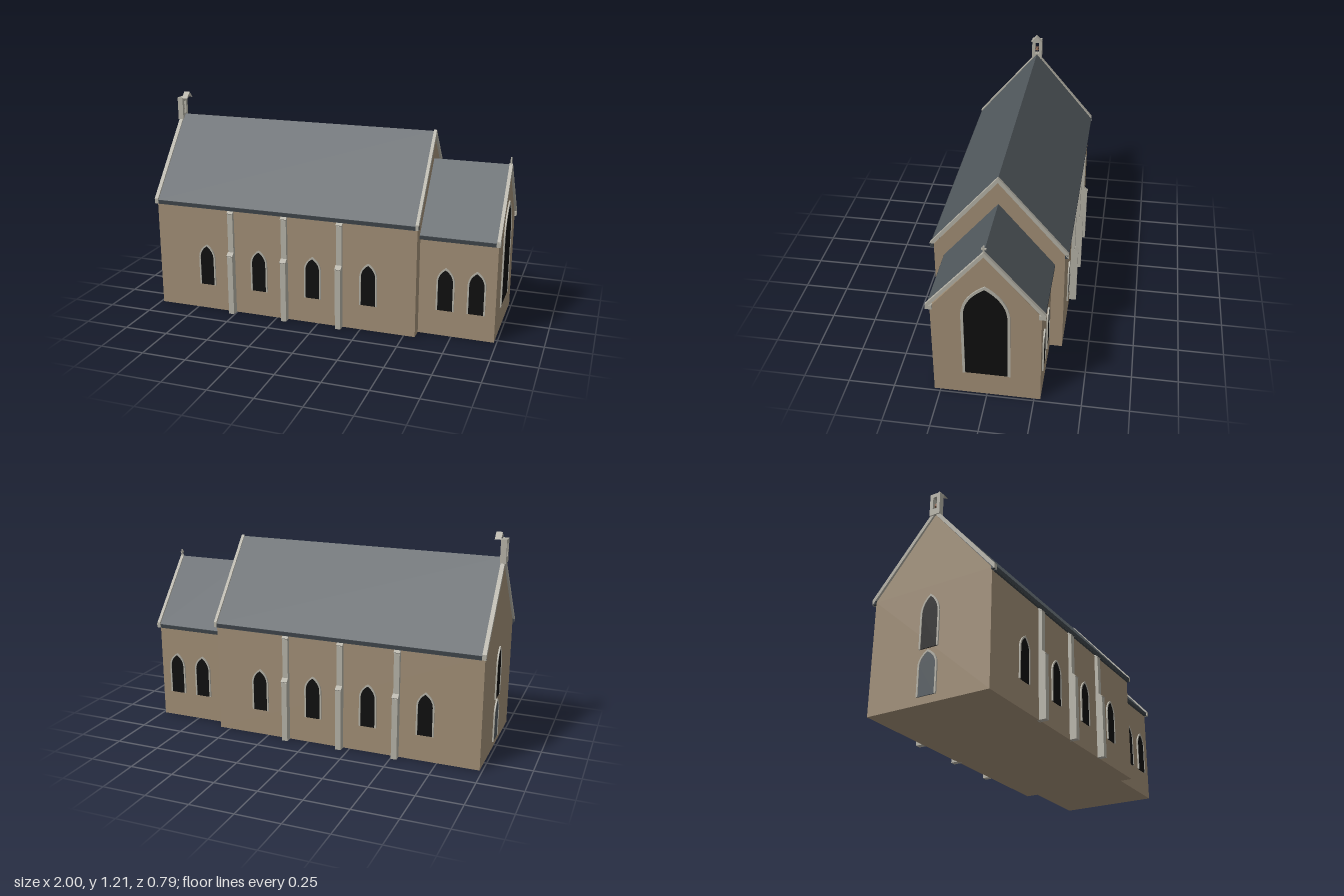
import * as THREE from 'three';

const material = (name, color) => {
  const m = new THREE.MeshStandardMaterial({ color });
  m.name = name;
  return m;
};

export function createModel() {
  const wall = material('sandstone wall', 0x9c8a72);
  const stone = material('pale stone', 0xb0ada2);
  const slate = material('roof slate', 0x50575c);
  const eave = material('dark eave', 0x3b4146);
  const glass = material('dark glass', 0x0e0e0e);
  const bronze = material('bell bronze', 0x8a6650);

  const model = new THREE.Group();
  model.name = 'church';

  const add = (name, geometry, mat, parent = model) => {
    const mesh = new THREE.Mesh(geometry, mat);
    mesh.name = name;
    parent.add(mesh);
    return mesh;
  };
  const box = (name, x0, x1, y0, y1, z0, z1, mat, parent) => {
    const g = new THREE.BoxGeometry(x1 - x0, y1 - y0, z1 - z0);
    g.translate((x0 + x1) / 2, (y0 + y1) / 2, (z0 + z1) / 2);
    return add(name, g, mat, parent);
  };
  const shapeOf = (pts) => new THREE.Shape(pts.map(([a, b]) => new THREE.Vector2(a, b)));

  // Cross-section given as [z, y], run along x from x0 to x1
  const prism = (name, pts, x0, x1, mat, hole, parent) => {
    const shape = shapeOf(pts.map(([z, y]) => [-z, y]));
    if (hole) shape.holes.push(hole);
    const g = new THREE.ExtrudeGeometry(shape, { depth: x1 - x0, bevelEnabled: false });
    g.rotateY(Math.PI / 2).translate(x0, 0, 0);
    return add(name, g, mat, parent);
  };
  // Inverted V band: outer edge at half-width w, height y, apex top, vertical thickness t
  const chevron = (name, w, y, top, t, x0, x1, mat) =>
    prism(name, [[-w, y], [0, top], [w, y], [w, y - t], [0, top - t], [-w, y - t]], x0, x1, mat);

  // Nave and chancel walls with gables
  const gable = (w, y, top) => [[-w, 0], [w, 0], [w, y], [0, top], [-w, y]];
  prism('naveWalls', gable(0.353, 0.635, 1.055), -0.985, 0.563, wall);
  prism('chancelWalls', gable(0.283, 0.56, 0.9), 0.55, 0.985, wall);

  // Roof slopes and dark eaves
  chevron('naveRoof', 0.368, 0.642, 1.08, 0.024, -0.975, 0.56, slate);
  chevron('chancelRoof', 0.298, 0.572, 0.926, 0.022, 0.56, 0.978, slate);
  for (const s of [1, -1]) {
    const z = (a, b) => (s > 0 ? [a, b] : [-b, -a]);
    box('naveEave', -0.975, 0.56, 0.62, 0.641, ...z(0.35, 0.371), eave);
    box('chancelEave', 0.563, 0.978, 0.55, 0.57, ...z(0.28, 0.3), eave);
    box('chancelKneeler', 0.975, 0.996, 0.552, 0.578, ...z(0.27, 0.305), stone);
    for (const x of [-0.993, 0.557]) {
      box('naveKneeler', x, x + 0.016, 0.622, 0.645, ...z(0.352, 0.371), eave);
    }
  }

  // Gable copings
  chevron('westCoping', 0.372, 0.65, 1.087, 0.03, -0.994, -0.972, stone);
  chevron('naveEastCoping', 0.372, 0.65, 1.087, 0.03, 0.556, 0.573, stone);
  chevron('chancelCoping', 0.302, 0.582, 0.932, 0.027, 0.977, 0.995, stone);

  // Buttresses: two stages, each with a sloping top
  const buttressProfile = [[0.34, 0], [0.393, 0], [0.393, 0.35], [0.373, 0.368],
    [0.373, 0.6], [0.353, 0.617], [0.34, 0.617]];
  for (const x of [-0.52, -0.195, 0.13]) {
    for (const s of [1, -1]) {
      const pts = buttressProfile.map(([z, y]) => [z * s, y]);
      prism('buttress', pts, x - 0.016, x + 0.016, stone);
      for (const [z, y] of [[0.383, 0.362], [0.363, 0.611]]) {
        const cap = box('buttressCap', -0.018, 0.018, -0.004, 0.004, -0.014, 0.014, stone);
        cap.position.set(x, y, z * s);
        cap.rotation.x = s * 0.7;
      }
    }
  }

  // Pointed arch outline, open at the foot
  const archPoints = (w, y0, spring, top) => {
    const v = (x, y) => new THREE.Vector2(x, y);
    const rise = top - spring;
    const right = new THREE.QuadraticBezierCurve(v(w, spring), v(w * 0.93, spring + rise * 0.62), v(0, top));
    const side = right.getPoints(8);
    const left = side.slice(0, -1).reverse().map((p) => v(-p.x, p.y));
    return [v(w, y0), ...side, ...left, v(-w, y0)];
  };
  const archWindow = (name, w, y0, spring, top, rim, pane = glass) => {
    const group = new THREE.Group();
    group.name = name;
    const inner = archPoints(w - rim, y0, spring, top - rim * 1.2);
    const outer = archPoints(w, y0, spring, top);
    const extrude = (pts, depth) =>
      new THREE.ExtrudeGeometry(new THREE.Shape(pts), { depth, bevelEnabled: false });
    add('surround', extrude([...outer, ...inner.slice().reverse()], 0.008), stone, group);
    add('pane', extrude(inner, 0.005), pane, group);
    model.add(group);
    return group;
  };

  // Side windows on both long walls
  const sideWindows = [
    ...[-0.68, -0.355, -0.03, 0.295].map((x) => [x, 0.353]),
    ...[0.71, 0.88].map((x) => [x, 0.283]),
  ];
  for (const [x, z] of sideWindows) {
    for (const s of [1, -1]) {
      const w = archWindow('sideWindow', 0.05, 0.15, 0.32, 0.397, 0.009);
      w.position.set(x, 0, z * s);
      if (s < 0) w.rotation.y = Math.PI;
    }
  }

  // Great east window, west window and west door
  const east = archWindow('eastWindow', 0.126, 0.143, 0.54, 0.722, 0.014);
  east.position.x = 0.985;
  east.rotation.y = Math.PI / 2;
  const west = archWindow('westWindow', 0.057, 0.29, 0.48, 0.585, 0.01);
  const door = archWindow('westDoor', 0.057, 0.04, 0.2, 0.28, 0.01, slate);
  for (const part of [west, door]) {
    part.position.x = -0.985;
    part.rotation.y = -Math.PI / 2;
  }

  // Bellcote with an opening, bell and small gabled cap
  const bellcote = new THREE.Group();
  bellcote.name = 'bellcote';
  model.add(bellcote);
  const opening = new THREE.Path(
    [[-0.012, 1.086], [0.012, 1.086], [0.012, 1.157], [-0.012, 1.157]].map((p) => new THREE.Vector2(...p)));
  prism('bellFrame', [[-0.031, 1.05], [0.031, 1.05], [0.031, 1.18], [-0.031, 1.18]],
    -1, -0.968, stone, opening, bellcote);
  prism('bellcoteCap', [[-0.034, 1.178], [0, 1.214], [0.034, 1.178], [0.026, 1.178], [0, 1.192], [-0.026, 1.178]],
    -0.969, -0.935, stone, null, bellcote);
  const bell = add('bell', new THREE.CylinderGeometry(0.005, 0.011, 0.018, 12), bronze, bellcote);
  bell.position.set(-0.984, 1.114, 0);
  box('bellBar', -0.986, -0.982, 1.121, 1.125, -0.013, 0.013, bronze, bellcote);

  // Cross on the chancel gable
  const cross = new THREE.Group();
  cross.name = 'gableCross';
  model.add(cross);
  box('crossPost', 0.982, 0.99, 0.92, 0.966, -0.004, 0.004, stone, cross);
  box('crossArm', 0.982, 0.99, 0.945, 0.953, -0.013, 0.013, stone, cross);

  return model;
}
